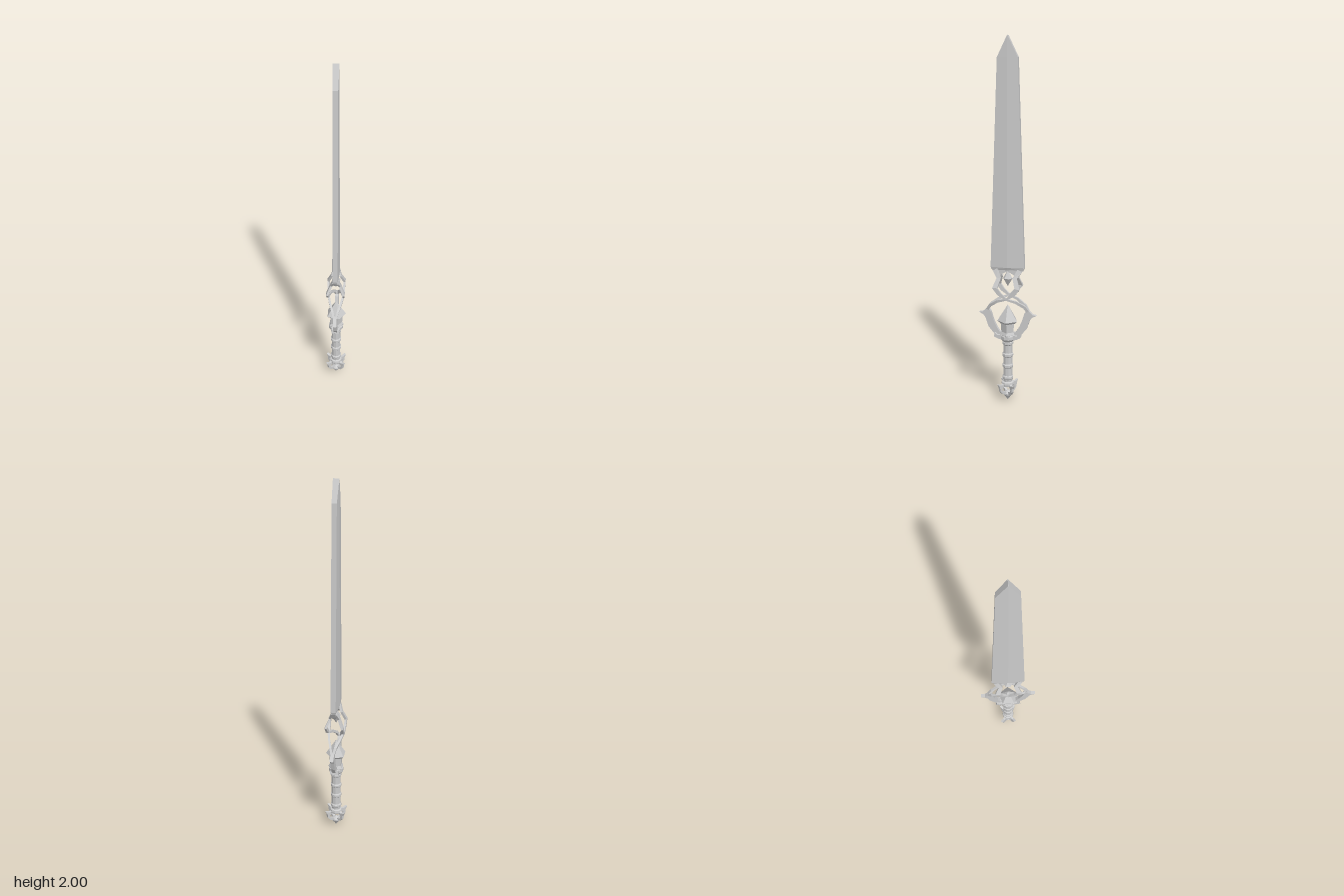
import * as THREE from 'three';

const material = new THREE.MeshStandardMaterial({ color: 0xcccccc, flatShading: true, side: THREE.DoubleSide });

// Skin a list of rings (counter-clockwise about the direction of travel), with capped ends
function loft(rings) {
  const n = rings[0].length;
  const index = [];
  for (let i = 0; i < rings.length - 1; i++) {
    for (let j = 0; j < n; j++) {
      const k = (j + 1) % n;
      const a = i * n + j, b = i * n + k, c = a + n, d = b + n;
      index.push(a, b, d, a, d, c);
    }
  }
  const last = (rings.length - 1) * n;
  for (let j = 1; j < n - 1; j++) index.push(0, j + 1, j, last, last + j, last + j + 1);
  const geometry = new THREE.BufferGeometry().setFromPoints(rings.flat());
  geometry.setIndex(index);
  const flat = geometry.toNonIndexed();
  flat.computeVertexNormals();
  return flat;
}

// Flat-section strand along points [x, y, z, half width], thin in the outward direction
function strandGeometry(points, half) {
  const p = points.map(([x, y, z]) => new THREE.Vector3(x, y, z));
  const rings = p.map((c, i) => {
    const t = p[Math.min(i + 1, p.length - 1)].clone().sub(p[Math.max(i - 1, 0)]).normalize();
    const n = new THREE.Vector3(Math.sign(points[0][0]), 0, 0);
    n.addScaledVector(t, -n.dot(t)).normalize();
    const b = t.clone().cross(n);
    const w = points[i][3];
    return [[1, -1], [1, 1], [-1, 1], [-1, -1]].map(([u, v]) =>
      c.clone().addScaledVector(n, u * half).addScaledVector(b, v * w));
  });
  return loft(rings);
}

// Polygon extruded evenly about its own plane
function plate(outline, depth, hole) {
  const shape = new THREE.Shape(outline.map(([x, y]) => new THREE.Vector2(x, y)));
  if (hole) shape.holes.push(new THREE.Path(hole.map(([x, y]) => new THREE.Vector2(x, y))));
  const geometry = new THREE.ExtrudeGeometry(shape, { depth, bevelEnabled: false });
  return geometry.translate(0, 0, -depth / 2);
}

const lathe = (profile, sides, start = 0) =>
  new THREE.LatheGeometry(profile.map(([r, y]) => new THREE.Vector2(r, y)), sides, start);

export function createModel() {
  const model = new THREE.Group();
  model.name = 'sword';
  const add = (name, geometry, turn = 0) => {
    const mesh = new THREE.Mesh(geometry, material);
    mesh.name = name;
    mesh.rotation.y = turn;
    model.add(mesh);
    return mesh;
  };

  // Blade: six-sided section, [y, half width, ridge x, edge x]
  const bladeRings = [
    [0.765, 0.088, 0.015, 0.011], [0.78, 0.093, 0.021, 0.014],
    [1.89, 0.055, 0.017, 0.013], [2, 0.0005, 0.016, 0.016],
  ].map(([y, w, a, e]) => [[-e, w], [e, w], [a, 0], [e, -w], [-e, -w], [-a, 0]]
    .map(([x, z]) => new THREE.Vector3(x, y, z)));
  add('blade', loft(bladeRings));

  for (const s of [1, -1]) {
    const turn = s > 0 ? -Math.PI / 2 : Math.PI / 2;

    // Collar wing under the blade
    add('bladeCollar', plate([
      [0, 0.772], [0, 0.758], [0.03, 0.742], [0.052, 0.722], [0.066, 0.735], [0.09, 0.772],
    ], 0.022), turn);

    // Crescent guard horn
    add('guardHorn', plate([
      [0, 0.375], [0.05, 0.378], [0.075, 0.395], [0.108, 0.435], [0.124, 0.485], [0.138, 0.503],
      [0.161, 0.514], [0.138, 0.519], [0.112, 0.547], [0.094, 0.522], [0.08, 0.475],
      [0.062, 0.435], [0.045, 0.41], [0, 0.4],
    ], 0.02), turn);

    // Small curl at the foot of each horn
    add('guardCurl', plate([
      [0.02, 0.365], [0.05, 0.37], [0.074, 0.382], [0.07, 0.405], [0.055, 0.392], [0.02, 0.395],
    ], 0.045), turn);

    // Four strands that bow out and cross on each face
    for (const side of [1, -1]) {
      add('crossingStrand', strandGeometry([
        [side * 0.009, 0.765, s * 0.068, 0.014],
        [side * 0.024, 0.722, s * 0.044, 0.012],
        [side * 0.046, 0.67, s * 0.062, 0.014],
        [side * 0.044, 0.64, s * 0.04, 0.011],
        [side * 0.042, 0.608, 0, 0.005],
        [side * 0.031, 0.592, -s * 0.05, 0.007],
        [side * 0.014, 0.562, -s * 0.095, 0.008],
        [side * 0.006, 0.535, -s * 0.113, 0.008],
      ], 0.006));
    }
  }

  // Hanging gem between the strands
  add('pendant', lathe([[0, 0.672], [0.027, 0.718], [0.018, 0.732], [0, 0.765]], 6));

  // Five-sided gem on its pillar, one corner toward +x
  const corner = Math.PI / 2;
  add('guardGem', lathe([[0, 0.462], [0.045, 0.462], [0.058, 0.475], [0, 0.567]], 5, corner));
  add('gemPillar', lathe([
    [0, 0.375], [0.038, 0.375], [0.044, 0.395], [0.036, 0.41], [0.04, 0.465], [0, 0.465],
  ], 5, corner));
  add('guardBase', lathe([
    [0, 0.355], [0.03, 0.355], [0.042, 0.37], [0.042, 0.388], [0.03, 0.4], [0, 0.4],
  ], 10));

  // Grip with raised rings
  const grip = [[0, 0.09], [0.034, 0.09], [0.036, 0.1], [0.034, 0.112], [0.025, 0.116]];
  for (const y of [0.14, 0.21, 0.275, 0.345]) {
    grip.push([0.026, y - 0.012], [0.031, y - 0.006], [0.031, y + 0.006], [0.026, y + 0.012]);
  }
  grip.push([0.027, 0.365], [0, 0.365]);
  add('grip', lathe(grip, 10));

  // Pommel spike held by four open claws
  add('pommelSpike', lathe([
    [0, 0], [0.012, 0.018], [0.026, 0.036], [0.026, 0.044], [0.014, 0.052], [0, 0.062],
  ], 8));
  for (const angle of [0.68, Math.PI - 0.68, Math.PI + 0.68, -0.68]) {
    add('pommelClaw', plate([
      [0.012, 0.108], [0.015, 0.09], [0.034, 0.087], [0.046, 0.078], [0.04, 0.062], [0.012, 0.05],
      [0.014, 0.036], [0.042, 0.047], [0.058, 0.066], [0.06, 0.088], [0.07, 0.107], [0.046, 0.1],
    ], 0.014), angle);
  }

  return model;
}
